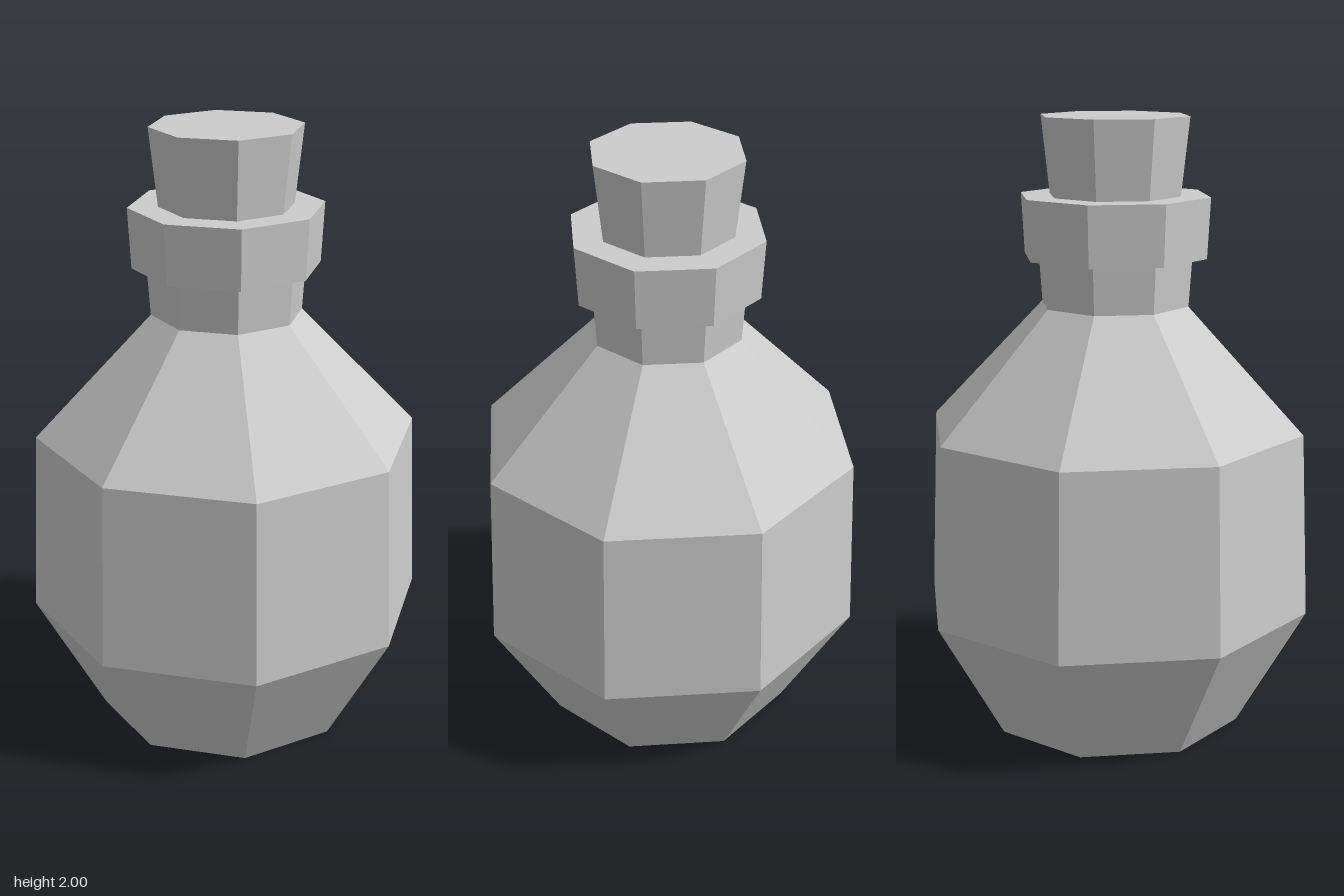
import * as THREE from 'three';

const SIDES = 8;

// Turns [flat-to-centre distance, height] pairs into an eight-sided solid with flats facing the axes.
function facetedSolid(name, profile, material) {
  const toCorner = 1 / Math.cos(Math.PI / SIDES);
  const points = profile.map(([r, y]) => new THREE.Vector2(r * toCorner, y));
  const mesh = new THREE.Mesh(new THREE.LatheGeometry(points, SIDES, Math.PI / SIDES), material);
  mesh.name = name;
  return mesh;
}

export function createModel() {
  const group = new THREE.Group();
  group.name = 'bottle';
  const grey = new THREE.MeshStandardMaterial({ color: 0xcccccc });
  grey.name = 'light grey';
  grey.flatShading = true;

  // Body: base, belly, shoulder and flaring neck
  group.add(facetedSolid('body', [
    [0, 0], [0.39, 0], [0.6, 0.4], [0.578, 1], [0.226, 1.4], [0.236, 1.555],
  ], grey));

  // Collar around the mouth
  group.add(facetedSolid('collar', [
    [0.236, 1.555], [0.28, 1.555], [0.29, 1.75], [0, 1.75],
  ], grey));

  // Tapered stopper
  group.add(facetedSolid('stopper', [
    [0.2, 1.75], [0.226, 2], [0, 2],
  ], grey));

  return group;
}
